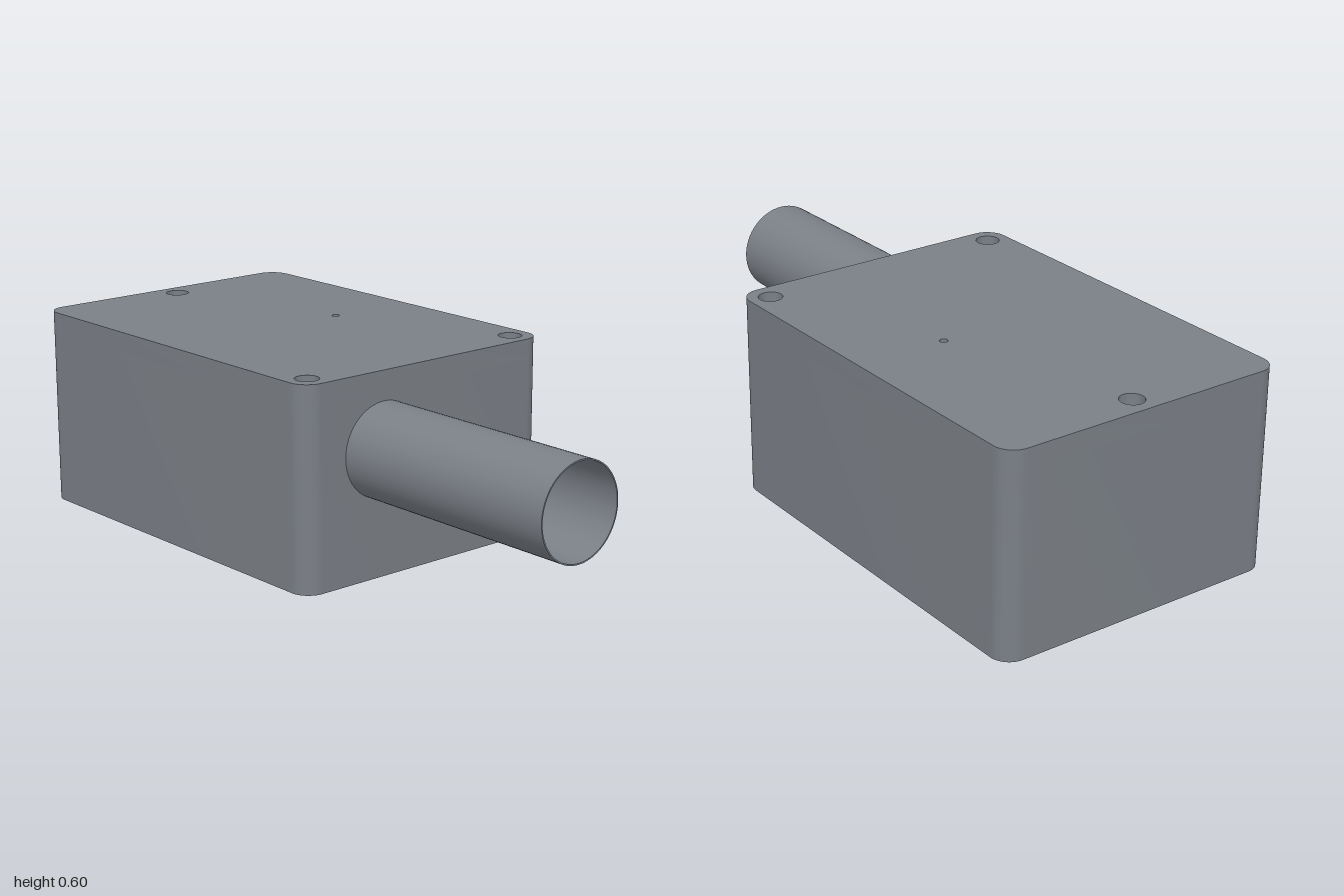
import * as THREE from 'three';
import { toCreasedNormals } from 'three/addons/utils/BufferGeometryUtils.js';

const material = new THREE.MeshStandardMaterial({ color: 0x7b8087 });
const BACK = -1, FRONT = 0.25, HALF = 0.45, CORNER = 0.06, HEIGHT = 0.6;

// Holes as [x, z, radius]
const screwHoles = [[0, -0.933, 0.035], [-0.385, 0.183, 0.035], [0.385, 0.183, 0.035]];
const pinHole = [0.17, -0.353, 0.012];

function add(group, name, geometry) {
  const mesh = new THREE.Mesh(toCreasedNormals(geometry, 0.6), material);
  mesh.name = name;
  group.add(mesh);
}

// Rounded rectangle in plan (shape y = world z), pierced and extruded between two heights
function slab(y0, y1, holes) {
  const s = new THREE.Shape();
  const r = CORNER;
  s.absarc(HALF - r, FRONT - r, r, 0, Math.PI / 2);
  s.absarc(-HALF + r, FRONT - r, r, Math.PI / 2, Math.PI);
  s.absarc(-HALF + r, BACK + r, r, Math.PI, Math.PI * 1.5);
  s.absarc(HALF - r, BACK + r, r, Math.PI * 1.5, Math.PI * 2);
  s.closePath();
  for (const [x, z, radius] of holes) {
    s.holes.push(new THREE.Path().absarc(x, z, radius, 0, Math.PI * 2, true));
  }
  const g = new THREE.ExtrudeGeometry(s, { depth: y1 - y0, bevelEnabled: false, curveSegments: 16 });
  return g.rotateX(Math.PI / 2).translate(0, y1, 0);
}

export function createModel() {
  const model = new THREE.Group();
  model.name = 'boxWithPipe';

  // Housing: screw holes run right through, the pin hole only pierces the top layer
  const split = HEIGHT - 0.06;
  add(model, 'housing', slab(0, split, screwHoles));
  add(model, 'housingTop', slab(split, HEIGHT, [...screwHoles, pinHole]));

  // Thin-walled open pipe on the front face
  const profile = [[0.14, FRONT - 0.01], [0.14, 1], [0.136, 1], [0.136, FRONT - 0.01]]
    .map(([r, y]) => new THREE.Vector2(r, y));
  add(model, 'pipe', new THREE.LatheGeometry(profile, 64)
    .rotateX(Math.PI / 2).translate(-0.165, 0.372, 0));

  return model;
}
